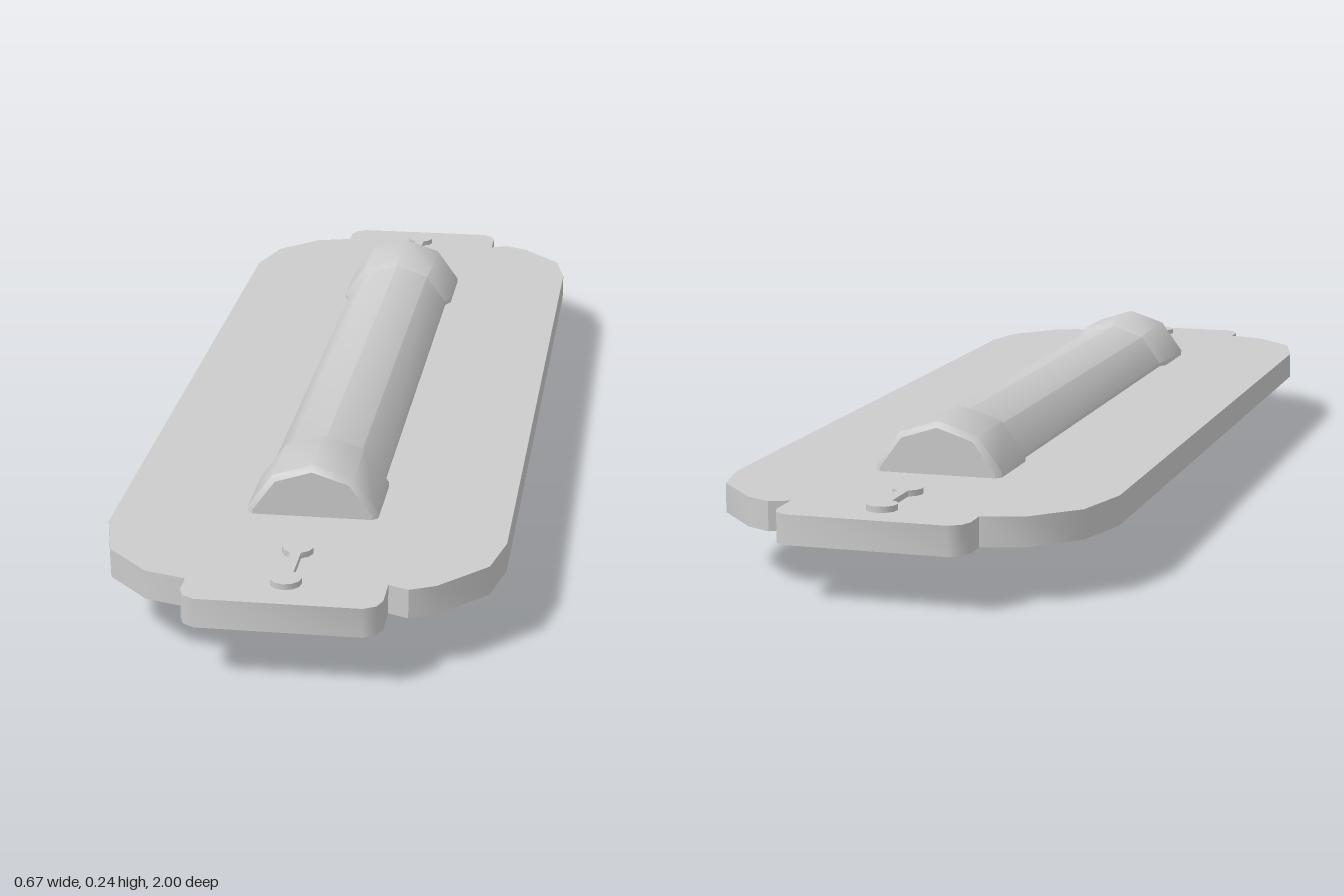
import * as THREE from 'three';
import { toCreasedNormals } from 'three/addons/utils/BufferGeometryUtils.js';

const material = new THREE.MeshStandardMaterial({ color: 0xcccccc });

function addMesh(group, name, geometry, crease) {
  const mesh = new THREE.Mesh(toCreasedNormals(geometry, crease), material);
  mesh.name = name;
  group.add(mesh);
}

// Lays an outline drawn in (x, z) flat, between heights y0 and y1.
function slab(shape, y0, y1) {
  const geometry = new THREE.ExtrudeGeometry(shape, { depth: y1 - y0, bevelEnabled: false, curveSegments: 5 });
  return geometry.rotateX(Math.PI / 2).translate(0, y1, 0);
}

export function createModel() {
  const group = new THREE.Group();

  // Plate: the half outline at the +z end, mirrored to the other end
  const end = [
    [0.337, 0.72], [0.317, 0.815], [0.24, 0.9], [0.197, 0.921], [0.163, 0.907],
    [0.163, 0.967], [0.155, 0.988], [0.135, 1],
    [-0.135, 1], [-0.155, 0.988], [-0.163, 0.967],
    [-0.163, 0.927], [-0.233, 0.907], [-0.308, 0.831], [-0.337, 0.72],
  ];
  const outline = [...end, ...end.map(([x, z]) => [x, -z]).reverse()];
  const plate = new THREE.Shape(outline.map(([x, z]) => new THREE.Vector2(x, z)));
  addMesh(group, 'plate', slab(plate, 0.097, 0.147), 0.75);

  // Ten-sided barrel with a bevelled collar at each end
  const half = [[0, 0.655], [0.108, 0.655], [0.118, 0.645], [0.118, 0.508], [0.108, 0.49]];
  const profile = [...half.map(([r, z]) => [r, -z]), ...half.reverse()];
  const barrel = new THREE.LatheGeometry(profile.map(([r, z]) => new THREE.Vector2(r, z)), 10);
  barrel.rotateX(Math.PI / 2).translate(0, 0.12, 0);
  addMesh(group, 'barrel', barrel, 0.72);

  // Raised dumbbell-shaped tab at each end
  const radius = 0.026, reach = 0.061, open = 0.35;
  for (const side of [1, -1]) {
    const tab = new THREE.Shape();
    tab.absarc(0, reach, radius, -Math.PI / 2 + open, Math.PI * 1.5 - open, false);
    tab.absarc(0, -reach, radius, Math.PI / 2 + open, Math.PI * 2.5 - open, false);
    tab.closePath();
    const geometry = slab(tab, 0.14, 0.157).translate(0, 0, side * 0.862);
    addMesh(group, side > 0 ? 'frontTab' : 'backTab', geometry, 0.8);
  }

  return group;
}
